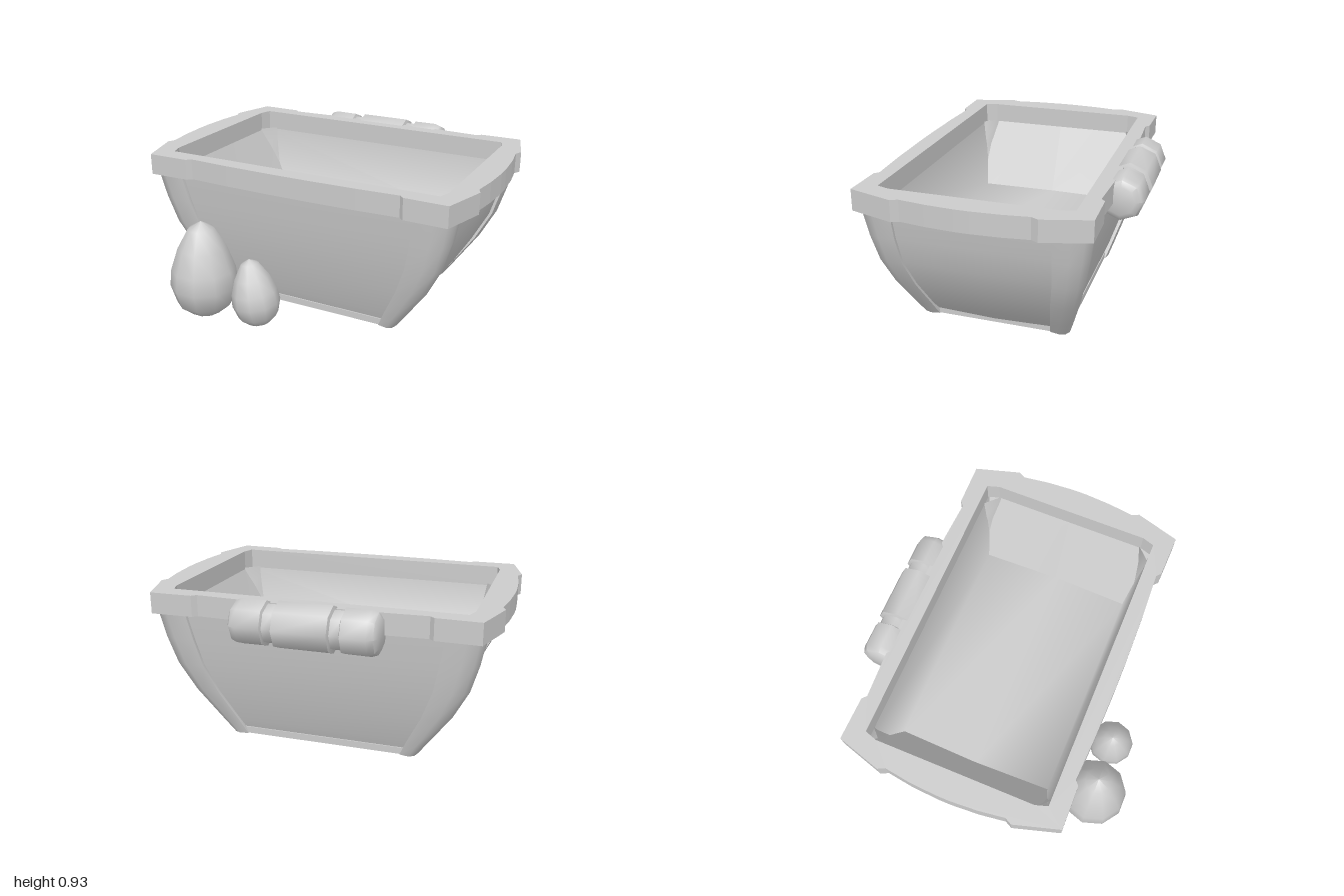
import * as THREE from 'three';
import { toCreasedNormals } from 'three/addons/utils/BufferGeometryUtils.js';

const material = new THREE.MeshStandardMaterial({ color: 0xcccccc, side: THREE.DoubleSide });
const CZ = -0.06; // the tub sits slightly behind the origin

function add(parent, name, geometry) {
  const mesh = new THREE.Mesh(geometry, material);
  mesh.name = name;
  parent.add(mesh);
  return mesh;
}

// Skin a row of cross-sections; optionally close each ring and cap the first one.
function loft(rings, closed, crease, cap = false) {
  const n = rings[0].length, index = [];
  for (let i = 0; i < rings.length - 1; i++) {
    for (let j = 0; j < (closed ? n : n - 1); j++) {
      const k = (j + 1) % n, a = i * n + j, b = i * n + k;
      index.push(a, b, b + n, a, b + n, a + n);
    }
  }
  if (cap) for (let j = 1; j < n - 1; j++) index.push(0, j + 1, j);
  const geometry = new THREE.BufferGeometry();
  geometry.setAttribute('position', new THREE.Float32BufferAttribute(rings.flat(2), 3));
  geometry.setIndex(index);
  geometry.computeVertexNormals();
  return toCreasedNormals(geometry, crease);
}

const toPoints = (list) => list.map(([x, y]) => new THREE.Vector2(x, y));

// Horizontal slab from an outline and a hole, given as [x, z]
function slab(outline, hole, top, height) {
  const shape = new THREE.Shape(toPoints(outline));
  shape.holes.push(new THREE.Path(toPoints(hole)));
  return new THREE.ExtrudeGeometry(shape, { depth: height, bevelEnabled: false })
    .rotateX(Math.PI / 2).translate(0, top, CZ);
}

// Repeat a quarter outline in all four quadrants
function mirrorQuarter(q) {
  const r = [...q].reverse();
  return [
    ...q, ...r.map(([x, z]) => [-x, z]),
    ...q.map(([x, z]) => [-x, -z]), ...r.map(([x, z]) => [x, -z]),
  ];
}

// Levels of the flaring body: y, outer x, outer z, post inner x, post inner z
const levels = [
  [0.02, 0.555, 0.44, 0.46, 0.335],
  [0.11, 0.62, 0.47, 0.5, 0.35],
  [0.3, 0.755, 0.53, 0.595, 0.385],
  [0.47, 0.845, 0.573, 0.66, 0.415],
  [0.63, 0.893, 0.602, 0.695, 0.425],
  [0.79, 0.925, 0.625, 0.725, 0.43],
];

function egg(group, name, profile, x, z, tilt) {
  const geometry = new THREE.LatheGeometry(toPoints(profile), 10, Math.PI / 10);
  const mesh = add(group, name, geometry);
  mesh.position.set(x, profile[0][1], z);
  mesh.rotation.z = tilt;
}

export function createModel() {
  const group = new THREE.Group();

  // Rim with raised corner blocks and gently bowed sides
  const rimOutline = mirrorQuarter([
    [1.0, 0.04], [0.99, 0.2], [0.97, 0.345], [0.99, 0.385], [0.915, 0.64],
    [0.67, 0.635], [0.645, 0.612], [0.4, 0.624], [0.1, 0.63],
  ]);
  const rimHole = mirrorQuarter([[0.85, 0.46], [0.828, 0.53]]);
  add(group, 'rim', slab(rimOutline, rimHole, 0.9, 0.12));

  // Outer panels, inset behind the posts, with slightly bowed ends
  const panelRings = levels.map(([y, xo, zo]) => {
    const x = xo - 0.03, z = zo - 0.03;
    return [[-x, z], [x, z], [x + 0.012, 0], [x, -z], [-x, -z], [-x - 0.012, 0]]
      .map(([px, pz]) => [px, y, pz + CZ]);
  }).slice(0);
  panelRings[0].forEach((p) => { p[1] = 0.04; });
  add(group, 'outerPanels', loft(panelRings, true, 0.6));

  // Rounded corner posts
  for (const sx of [1, -1]) for (const sz of [1, -1]) {
    const rings = levels.map(([y, xo, zo, xi, zi]) => {
      const w = xo - xi, d = zo - zi;
      const section = [
        [xi, zo - 0.05], [xi, zo - 0.01], [xo - 0.45 * w, zo], [xo - 0.13 * w, zo - 0.15 * d],
        [xo, zo - 0.5 * d], [xo - 0.01, zi], [xo - 0.05, zi],
      ].map(([x, z]) => [sx * x, y, sz * z + CZ]);
      return sx * sz < 0 ? section.reverse() : section;
    });
    add(group, 'cornerPost', loft(rings, true, 0.87, true));
  }

  // Base frame with a recessed underside
  add(group, 'baseFrame', slab(
    mirrorQuarter([[0.54, 0.425]]), mirrorQuarter([[0.46, 0.29]]), 0.06, 0.039));
  add(group, 'basePanel', new THREE.BoxGeometry(0.94, 0.01, 0.6).translate(0, 0.05, CZ));

  // Hollow interior: smooth trough along the length plus sloping ends
  const trough = [-1, 1].map((s) => [
    [s * 0.85, 0.78, CZ - 0.53], [s * 0.648, 0.38, CZ - 0.465], [s * 0.66, 0.38, CZ],
    [s * 0.648, 0.38, CZ + 0.465], [s * 0.85, 0.78, CZ + 0.53],
  ]);
  add(group, 'innerTrough', loft(trough, false, Math.PI));
  for (const s of [-1, 1]) {
    const ends = [[0.38, 0.648, 0.66, 0.465], [0.78, 0.85, 0.85, 0.53]].map(([y, x, mid, z]) =>
      [[s * x, y, CZ - s * z], [s * mid, y, CZ], [s * x, y, CZ + s * z]]);
    add(group, 'innerEnd', loft(ends, false, 0.5));
  }

  // Two eggs resting at the front
  egg(group, 'largeEgg', [
    [0, 0.005], [0.09, 0.025], [0.165, 0.09], [0.197, 0.2], [0.185, 0.3],
    [0.14, 0.43], [0.075, 0.545], [0, 0.59],
  ].map(([r, y]) => [r, y - 0.005]), -0.523, 0.665, 0);
  egg(group, 'smallEgg', [
    [0, 0], [0.065, 0.01], [0.115, 0.055], [0.138, 0.13], [0.13, 0.2],
    [0.1, 0.285], [0.05, 0.37], [0, 0.395],
  ], -0.155, 0.655, 0.15);
  group.children.at(-1).position.y = 0.018;

  // Rolled bundle on the back, pinched by two grooves
  const half = [
    [0.13, 0.15], [0.108, 0.157], [0.108, 0.21], [0.125, 0.217],
    [0.126, 0.355], [0.113, 0.39], [0.08, 0.408], [0, 0.41],
  ];
  const profile = [...[...half].reverse().map(([r, x]) => [r, -x]), ...half];
  const roll = toCreasedNormals(new THREE.LatheGeometry(toPoints(profile), 8), 0.9);
  add(group, 'rolledBundle', roll.rotateZ(-Math.PI / 2).translate(-0.005, 0.797, -0.723));

  return group;
}
